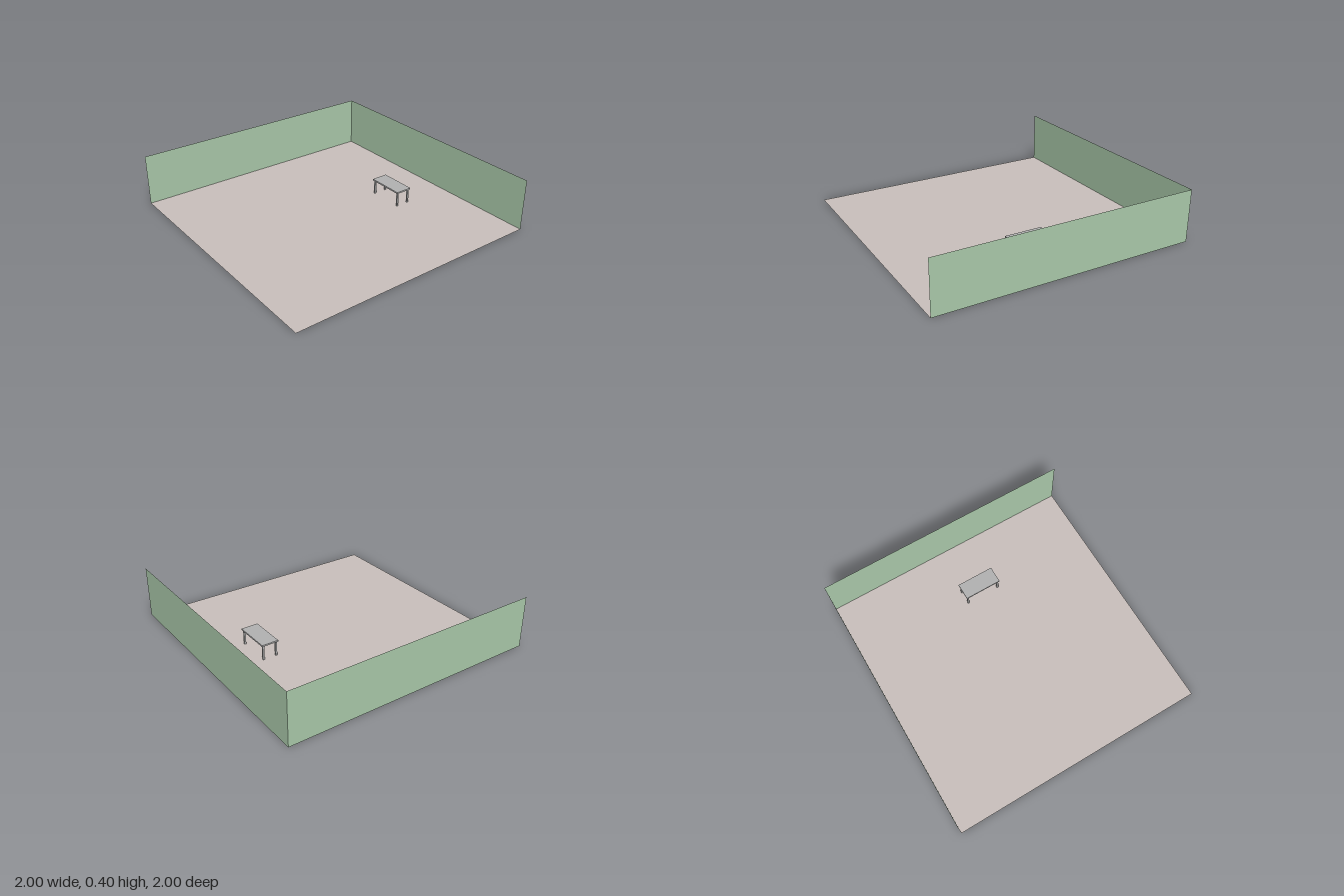
import * as THREE from 'three';

const material = (color) => new THREE.MeshStandardMaterial({ color, side: THREE.DoubleSide });

export function createModel() {
  const model = new THREE.Group();
  model.name = 'roomCorner';
  const floorMat = material(0xcac1bd);
  const wallMat = material(0xabcaab);
  const tableMat = material(0xb2b2b2);

  const add = (parent, name, geometry, mat, x, y, z) => {
    const mesh = new THREE.Mesh(geometry, mat);
    mesh.name = name;
    mesh.position.set(x, y, z);
    parent.add(mesh);
    return mesh;
  };

  // Floor and two thin walls meeting at the back corner
  const wall = new THREE.PlaneGeometry(2, 0.4);
  add(model, 'floor', new THREE.PlaneGeometry(2, 2).rotateX(-Math.PI / 2), floorMat, 0, 0, 0);
  add(model, 'backWall', wall, wallMat, 0, 0.2, -1);
  add(model, 'sideWall', wall, wallMat, 1, 0.2, 0).rotation.y = -Math.PI / 2;

  // Small table standing near the side wall
  const table = new THREE.Group();
  table.name = 'table';
  table.position.set(0.567, 0, 0.054);
  model.add(table);
  add(table, 'tableTop', new THREE.BoxGeometry(0.132, 0.012, 0.292), tableMat, 0, 0.118, 0);
  const leg = new THREE.BoxGeometry(0.013, 0.112, 0.013);
  for (const sx of [-1, 1]) {
    for (const sz of [-1, 1]) {
      add(table, 'tableLeg', leg, tableMat, sx * 0.052, 0.056, sz * 0.132);
    }
  }
  return model;
}
